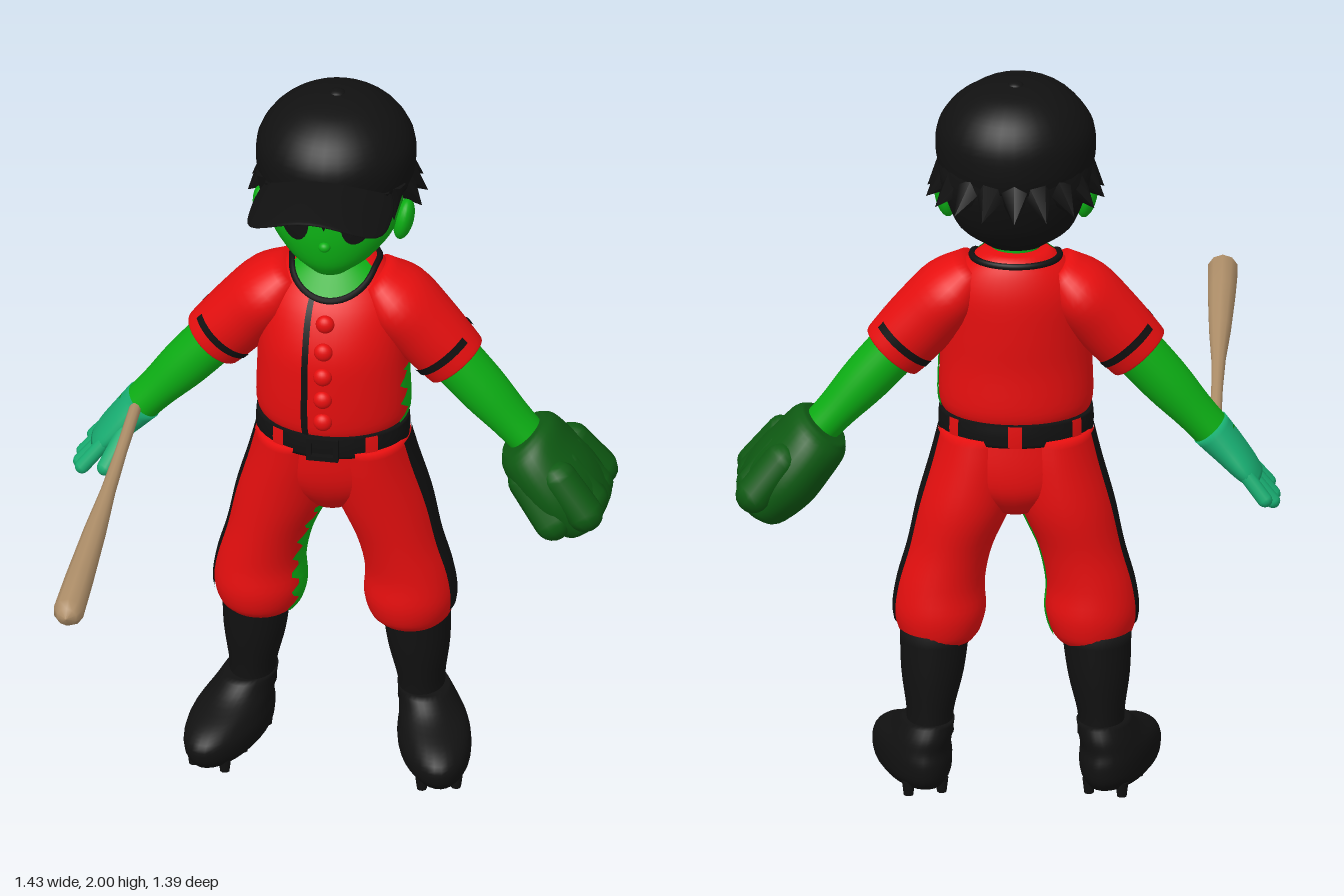
import * as THREE from 'three';

const mat = (name, color) => Object.assign(new THREE.MeshStandardMaterial({ color, side: THREE.DoubleSide }), { name });
const red = mat('uniform red', 0xe80f0f), skin = mat('skin green', 0x0cae14), black = mat('black', 0x111111);
const teal = mat('batting glove teal', 0x18ae72), darkGreen = mat('mitt dark green', 0x0e5912), wood = mat('bat wood', 0xb0906a);

const V = (x, y, z) => new THREE.Vector3(x, y, z);
const HALF = Math.PI / 2;

// A body is a list of elliptical rings [y, centreX, centreZ, radiusX, radiusZ], from low to high
function ringSampler(rings) {
  const centre = new THREE.CatmullRomCurve3(rings.map(r => V(r[1], r[0], r[2])), false, 'catmullrom');
  const radius = new THREE.CatmullRomCurve3(rings.map(r => V(r[3], 0, r[4])), false, 'catmullrom');
  return t => ({ c: centre.getPoint(t), r: radius.getPoint(t) });
}
const onRing = ({ c, r }, a, lift = 0) => V(c.x + (r.x + lift) * Math.cos(a), c.y, c.z + (r.z + lift) * Math.sin(a));

// Point on a body's skin at height y and angle a (a = 90 degrees is the front)
function onBody(rings, y, a, lift = 0.004) {
  const sample = ringSampler(rings);
  let lo = 0, hi = 1;
  for (let i = 0; i < 22; i++) {
    const m = (lo + hi) / 2;
    if (sample(m).c.y < y) lo = m; else hi = m;
  }
  return onRing(sample(lo), a, lift);
}

function add(parent, name, geo, material, pos) {
  const m = new THREE.Mesh(geo, material);
  m.name = name;
  if (pos) m.position.copy(pos);
  parent.add(m);
  return m;
}

function surface(pos, idx) {
  const g = new THREE.BufferGeometry();
  g.setAttribute('position', new THREE.Float32BufferAttribute(pos, 3));
  g.setIndex(idx);
  g.computeVertexNormals();
  return g;
}

// Smooth closed body through the rings
function body(parent, name, material, rings, seg = 32) {
  const n = (rings.length - 1) * 4, sample = ringSampler(rings), pos = [], idx = [];
  for (let j = 0; j <= n; j++) {
    for (let i = 0; i < seg; i++) pos.push(...onRing(sample(j / n), i / seg * 2 * Math.PI).toArray());
  }
  pos.push(...sample(0).c.toArray(), ...sample(1).c.toArray());
  const low = (n + 1) * seg, high = low + 1;
  for (let i = 0; i < seg; i++) {
    const k = (i + 1) % seg;
    for (let j = 0; j < n; j++) {
      const a = j * seg + i, b = j * seg + k;
      idx.push(a, a + seg, b, b, a + seg, b + seg);
    }
    idx.push(low, i, k, high, n * seg + k, n * seg + i);
  }
  return add(parent, name, surface(pos, idx), material);
}

// Thin painted patch on a body; f(u, v) gives [angle, y]
function patch(parent, name, material, rings, f, nu = 10, nv = 10) {
  const pos = [], idx = [];
  for (let j = 0; j <= nv; j++) for (let i = 0; i <= nu; i++) {
    const [a, y] = f(i / nu, j / nv);
    pos.push(...onBody(rings, y, a).toArray());
    if (i < nu && j < nv) {
      const p = j * (nu + 1) + i, q = p + nu + 1;
      idx.push(p, q, p + 1, p + 1, q, q + 1);
    }
  }
  return add(parent, name, surface(pos, idx), material);
}
const rect = (a0, a1, y0, y1) => (u, v) => [a0 + (a1 - a0) * u, y0 + (y1 - y0) * v];

const ball = (p, name, m, pos, sx, sy, sz) => add(p, name, new THREE.SphereGeometry(1, 20, 14).scale(sx, sy, sz), m, pos);

function between(parent, name, geo, material, a, b) {
  const m = add(parent, name, geo, material, a.clone().lerp(b, 0.5));
  m.quaternion.setFromUnitVectors(V(0, 1, 0), b.clone().sub(a).normalize());
}
const finger = (p, name, m, a, b, r) => between(p, name, new THREE.CapsuleGeometry(r, a.distanceTo(b), 5, 10), m, a, b);
const spike = (p, a, b, r) => between(p, 'hairSpike', new THREE.ConeGeometry(r, a.distanceTo(b), 6), black, a, b);

function buildHead(g) {
  const head = [[1.525, 0, -.345, .05, .05], [1.57, 0, -.375, .115, .108], [1.64, 0, -.4, .168, .145],
    [1.72, 0, -.415, .185, .158], [1.8, 0, -.425, .185, .165], [1.88, 0, -.43, .12, .12]];
  body(g, 'face', skin, head);
  body(g, 'neck', skin, [[1.42, 0, -.43, .075, .07], [1.5, 0, -.425, .066, .062], [1.62, 0, -.42, .068, .065]]);
  ball(g, 'nose', skin, V(0, 1.635, -.255), .016, .014, .014);
  for (const s of [-1, 1]) {
    ball(g, 'ear', skin, V(s * .187, 1.655, -.4), .026, .06, .042).rotation.z = -s * .2;
    patch(g, 'eye', black, head, (u, v) => [HALF - s * .47 + .24 * v * Math.cos(u * 2 * Math.PI),
      1.702 + .058 * v * Math.sin(u * 2 * Math.PI)], 24, 4);
    // fringe beside the eyes
    for (const [a, y] of [[.8, 1.715], [1.08, 1.69], [.5, 1.745]])
      spike(g, onBody(head, 1.79, HALF - s * a, 0), onBody(head, y, HALF - s * a, .014), .035);
  }
  for (const [x, y] of [[-.13, 1.735], [0, 1.69], [.17, 1.74]])
    spike(g, onBody(head, 1.79, HALF - x, 0), onBody(head, y, HALF - x * .6, .012), .05);
  // back hair and its ring of points
  body(g, 'backHair', black, [[1.55, 0, -.48, .07, .05], [1.61, 0, -.5, .145, .09], [1.7, 0, -.505, .185, .125],
    [1.76, 0, -.475, .203, .165], [1.82, 0, -.45, .195, .19]]);
  for (let i = -5; i <= 5; i++) {
    const a = -HALF + i * .33, r = .235 + .028 * Math.cos(i * .33);
    spike(g, V(.16 * Math.cos(a), 1.765, -.44 + .16 * Math.sin(a)), V(r * Math.cos(a), 1.69, -.435 + r * Math.sin(a)), .055);
  }
  // cap dome, button and brim
  body(g, 'capDome', black, [[1.75, 0, -.44, .2, .202], [1.8, 0, -.437, .21, .214], [1.87, 0, -.437, .206, .21],
    [1.93, 0, -.44, .17, .175], [1.97, 0, -.443, .115, .12], [1.988, 0, -.445, .06, .06], [1.993, 0, -.445, .01, .01]]);
  ball(g, 'capButton', black, V(0, 1.988, -.455), .022, .012, .022);
  const brim = new THREE.SphereGeometry(1, 40, 20), p = brim.attributes.position;
  for (let i = 0; i < p.count; i++) {
    // square off the round outline, then arch it across
    const x = p.getX(i), z = p.getZ(i), a = Math.atan2(z, x);
    const k = 1 / Math.cbrt(Math.abs(Math.cos(a)) ** 3 + Math.abs(Math.sin(a)) ** 3);
    const X = x * k * .187, Z = z * k * .185;
    p.setXYZ(i, X, p.getY(i) * .014 - 2.1 * X * X + .04 * Z, Z);
  }
  brim.computeVertexNormals();
  add(g, 'capBrim', brim, black, V(0, 1.842, -.2));
}

function buildTorso(g) {
  const shirt = [[1.045, 0, -.39, .185, .145], [1.09, 0, -.39, .202, .158], [1.2, 0, -.387, .2, .16], [1.3, 0, -.393, .196, .16],
    [1.4, 0, -.412, .188, .142], [1.47, 0, -.43, .15, .11], [1.525, 0, -.44, .085, .075]];
  body(g, 'shirt', red, shirt, 40);
  const collarY = a => 1.503 - .06 * Math.max(0, Math.sin(a)) ** 3;
  patch(g, 'openCollar', skin, shirt, (u, v) => {
    const a = .5 + (Math.PI - 1) * u;
    return [a, collarY(a) + (1.523 - collarY(a)) * v];
  }, 16, 6);
  const collar = Array.from({ length: 28 }, (_, i) => i / 28 * 2 * Math.PI).map(a => onBody(shirt, collarY(a), a, .002));
  add(g, 'collarTrim', new THREE.TubeGeometry(new THREE.CatmullRomCurve3(collar, true), 56, .009, 8, true), black);
  patch(g, 'placketTrim', black, shirt, rect(HALF + .2, HALF + .29, 1.06, 1.445), 2, 16);
  for (let i = 0; i < 5; i++) ball(g, 'button', red, onBody(shirt, 1.39 - i * .07, HALF, 0), .025, .025, .02);
  patch(g, 'flankPatch', skin, shirt, (u, v) => [-.15 + (.42 + .12 * Math.sin(v * 19)) * u, 1.055 + .17 * v], 6, 12);
  // belt with loops and buckle
  const belt = [[.995, 0, -.39, .202, .156], [1.028, 0, -.39, .204, .158], [1.06, 0, -.39, .202, .156]];
  body(g, 'belt', black, belt, 40);
  for (const a of [HALF - .65, HALF + .65, -HALF, -HALF - .9, -HALF + .9])
    patch(g, 'beltLoop', red, belt, rect(a - .09, a + .09, .997, 1.058), 4, 2);
  for (const s of [-1, 1]) {
    add(g, 'buckleBar', new THREE.BoxGeometry(.085, .013, .02), black, V(0, 1.028 + s * .026, -.228));
    add(g, 'buckleSide', new THREE.BoxGeometry(.013, .06, .02), black, V(s * .036, 1.028, -.228));
  }
}

function buildLeg(g, s) {
  const leg = [[.42, .2, -.43, .09, .095], [.445, .2, -.425, .108, .113], [.5, .199, -.422, .121, .123], [.58, .195, -.42, .114, .118],
    [.68, .17, -.415, .111, .122], [.8, .132, -.412, .124, .138], [.92, .105, -.4, .117, .145], [1.01, .095, -.39, .104, .145]]
    .map(r => [r[0], r[1] * s, ...r.slice(2)]);
  body(g, 'trouserLeg', red, leg);
  const out = s > 0 ? 0 : Math.PI;
  patch(g, 'sideStripe', black, leg, rect(out - .37, out + .37, .47, 1.0), 6, 24);
  if (s < 0) patch(g, 'innerLegPatch', skin, leg, (u, v) => [-.25 + (.8 + .15 * Math.sin(v * 40)) * u, .43 + .35 * v], 6, 24);
  body(g, 'sock', black, [[.16, s * .226, -.455, .064, .078], [.22, s * .224, -.455, .062, .078], [.33, s * .218, -.45, .082, .088],
    [.45, s * .212, -.445, .092, .092]]);
  // cleated shoe, toe turned out
  const shoe = new THREE.Group();
  shoe.name = 'shoe';
  shoe.position.set(s * .255, 0, -.435);
  shoe.rotation.y = s * .27;
  g.add(shoe);
  body(shoe, 'shoeUpper', black, [[.025, 0, .065, .075, .175], [.05, 0, .066, .092, .192], [.09, 0, .064, .096, .194],
    [.125, 0, .045, .09, .168], [.16, -s * .008, -.002, .078, .12], [.2, -s * .02, -.025, .068, .085]]);
  for (const z of [-.07, .08, .19]) for (const x of [-.045, .045])
    add(shoe, 'cleat', new THREE.CylinderGeometry(.018, .013, .04, 8), black, V(x, .02, z));
}

function buildArm(g, s) {
  const arm = new THREE.Group();
  arm.name = s > 0 ? 'leftArm' : 'rightArm';
  arm.position.set(s * .14, 1.43, -.42);
  arm.rotation.z = s * .72;
  g.add(arm);
  const sleeve = [[-.28, 0, 0, .084, .08], [-.265, 0, 0, .09, .085], [-.15, 0, 0, .095, .105], [-.04, 0, 0, .088, .122], [.05, 0, 0, .05, .08]];
  body(arm, 'sleeve', red, sleeve);
  for (const a of [HALF, -HALF]) patch(arm, 'sleeveStripe', black, sleeve, rect(a - 1.05, a + 1.05, -.24, -.218), 16, 2);
  body(arm, 'forearm', skin, [[-.6, 0, 0, .05, .058], [-.5, 0, 0, .054, .062], [-.38, 0, 0, .066, .07], [-.22, 0, 0, .07, .075]]);
  if (s > 0) {
    // padded mitt
    body(arm, 'mitt', darkGreen, [[-.845, -.01, 0, .05, .1], [-.82, -.015, 0, .082, .135], [-.73, -.015, 0, .1, .155],
      [-.64, -.012, 0, .096, .145], [-.58, -.008, 0, .09, .122], [-.552, -.005, 0, .07, .09]]);
    for (let i = 0; i < 4; i++) {
      const z = -.115 + i * .077;
      finger(arm, 'mittFinger', darkGreen, V(.035, -.68, z * .85), V(.03, -.79, z), .05);
    }
    finger(arm, 'mittThumb', darkGreen, V(-.05, -.64, .08), V(-.055, -.76, .12), .05);
  } else {
    // gloved hand
    body(arm, 'palm', teal, [[-.74, 0, -.005, .026, .07], [-.7, 0, -.005, .036, .08], [-.63, 0, 0, .046, .073], [-.56, 0, 0, .054, .063]]);
    for (let i = 0; i < 4; i++) {
      const z = -.065 + i * .04;
      finger(arm, 'finger', teal, V(0, -.71, z), V(.004, [-.785, -.815, -.815, -.795][i], z * 1.25), .02);
    }
    finger(arm, 'thumb', teal, V(.01, -.62, .05), V(.035, -.725, .115), .023);
  }
}

export function createModel() {
  const model = new THREE.Group(), player = new THREE.Group();
  model.name = 'ballPlayer';
  player.name = 'player';
  player.position.x = -.012;
  model.add(player);
  buildHead(player);
  buildTorso(player);
  body(player, 'hips', red, [[.79, 0, -.41, .07, .09], [.85, 0, -.408, .18, .132], [.92, 0, -.4, .215, .148], [1.03, 0, -.39, .19, .148]]);
  for (const s of [-1, 1]) {
    buildLeg(player, s);
    buildArm(player, s);
  }
  // bat, pointing forward from the right hand
  const profile = [[0, -.4], [.016, -.4], [.016, -.15], [.02, .05], [.03, .25], [.038, .5], [.041, .66], [.026, .685], [0, .697]]
    .map(([r, z]) => new THREE.Vector2(r, z));
  add(model, 'bat', new THREE.LatheGeometry(profile, 10).rotateX(HALF), wood, V(-.535, 1.013, 0));
  return model;
}
